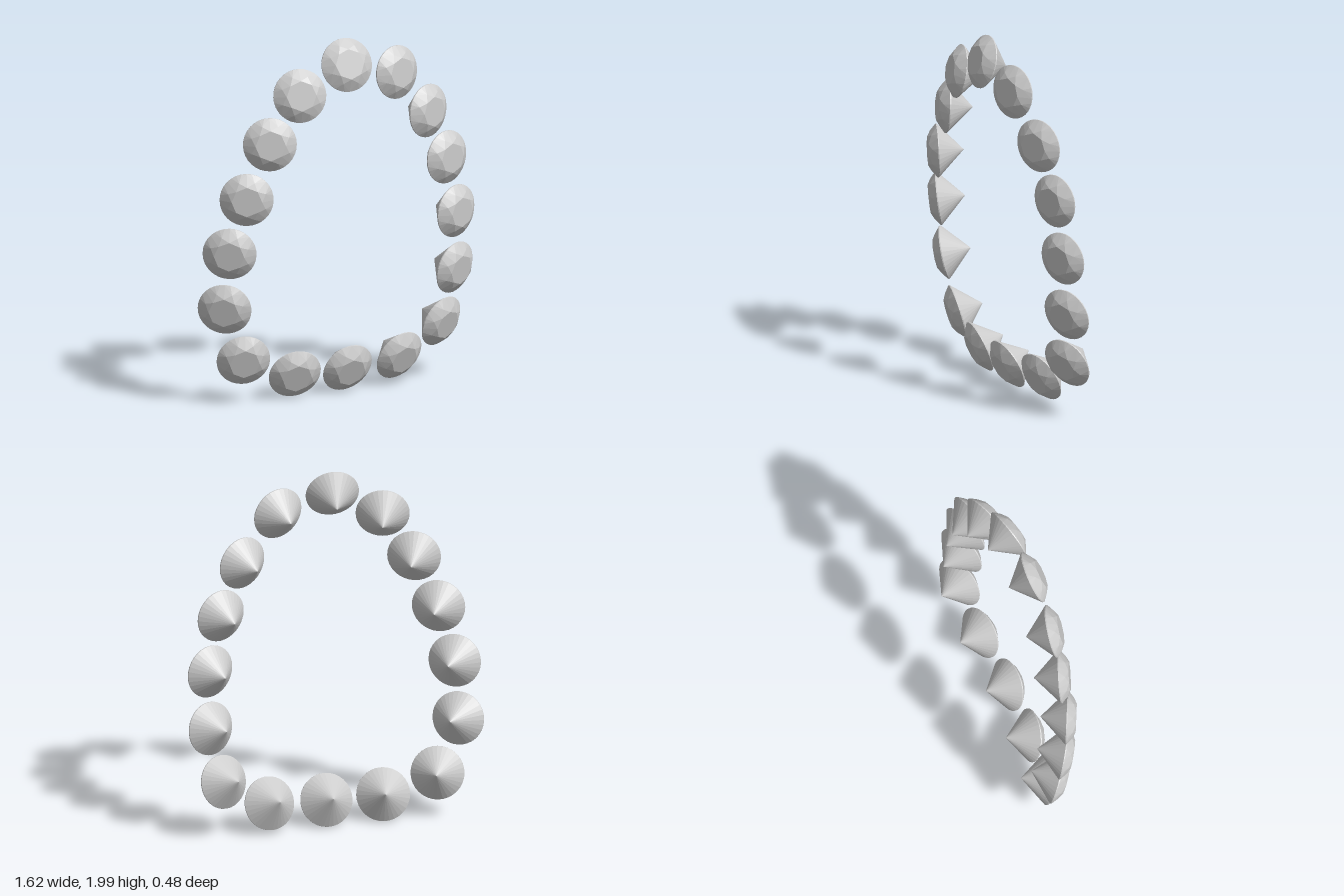
import * as THREE from 'three';

const R = 0.145, TABLE_R = 0.082, KITE_R = 0.11;   // girdle, table, kite corner radii
const CROWN = 0.05, KITE_H = 0.0335, PAVILION = 0.143, BAND = 0.003;
const SEG = 32;

// Round brilliant-cut gem, girdle in the xy plane, table facing +z
function gemGeometry() {
  const pos = [];
  const at = (step, r, z) => {
    const a = (step / SEG) * Math.PI * 2;
    return [r * Math.cos(a), r * Math.sin(a), z];
  };
  const tri = (a, b, c) => pos.push(...a, ...b, ...c);
  const top = (s) => at(s, R, BAND);
  const bottom = (s) => at(s, R, -BAND);

  for (let k = 0; k < 8; k++) {
    const s = k * 4;
    const t0 = at(s, TABLE_R, CROWN), t1 = at(s + 4, TABLE_R, CROWN);
    const before = at(s - 2, KITE_R, KITE_H), after = at(s + 2, KITE_R, KITE_H);
    tri([0, 0, CROWN], t0, t1);                    // table
    tri(t0, after, t1);                            // star facet
    tri(t0, before, top(s));                       // kite facet
    tri(t0, top(s), after);
    for (let i = 0; i < 4; i++) tri(after, top(s + i), top(s + i + 1)); // upper girdle facets
  }
  for (let s = 0; s < SEG; s++) {
    tri(bottom(s), bottom(s + 1), top(s + 1));     // girdle band
    tri(bottom(s), top(s + 1), top(s));
    tri(bottom(s + 1), bottom(s), [0, 0, -PAVILION]); // pavilion to the point
  }
  const g = new THREE.BufferGeometry();
  g.setAttribute('position', new THREE.Float32BufferAttribute(pos, 3));
  g.computeVertexNormals();
  return g;
}

// Girdle centre x, y, z and the x, y tilt of the facing direction
const GEMS = [
  [0.00, 1.86, 0.135, 0.08, 0.30],
  [0.30, 1.78, 0.077, 0.41, 0.10],
  [0.50, 1.53, 0.006, 0.50, 0.03],
  [0.62, 1.25, -0.042, 0.45, 0.02],
  [0.68, 0.94, -0.065, 0.50, -0.03],
  [0.68, 0.62, -0.087, 0.53, -0.16],
  [0.613, 0.32, -0.115, 0.49, -0.30],
  [0.36, 0.165, -0.063, 0.33, -0.37],
  [0.045, 0.142, 0.011, 0.18, -0.38],
  [-0.265, 0.145, 0.053, 0.00, -0.35],
  [-0.56, 0.25, 0.07, -0.15, -0.25],
  [-0.675, 0.55, 0.098, -0.41, -0.20],
  [-0.66, 0.867, 0.138, -0.36, -0.12],
  [-0.577, 1.17, 0.178, -0.28, -0.02],
  [-0.445, 1.465, 0.175, -0.22, 0.08],
  [-0.275, 1.72, 0.17, -0.10, 0.21],
];

export function createModel() {
  const group = new THREE.Group();
  group.name = 'gemRing';
  const geometry = gemGeometry();
  const material = new THREE.MeshStandardMaterial({ color: 0xcccccc, flatShading: true });
  const front = new THREE.Vector3(0, 0, 1);

  GEMS.forEach(([x, y, z, nx, ny], i) => {
    const gem = new THREE.Mesh(geometry, material);
    gem.name = `gem${i + 1}`;
    gem.position.set(x, y, z);
    const facing = new THREE.Vector3(nx, ny, Math.sqrt(1 - nx * nx - ny * ny));
    gem.quaternion.setFromUnitVectors(front, facing);
    group.add(gem);
  });
  return group;
}
